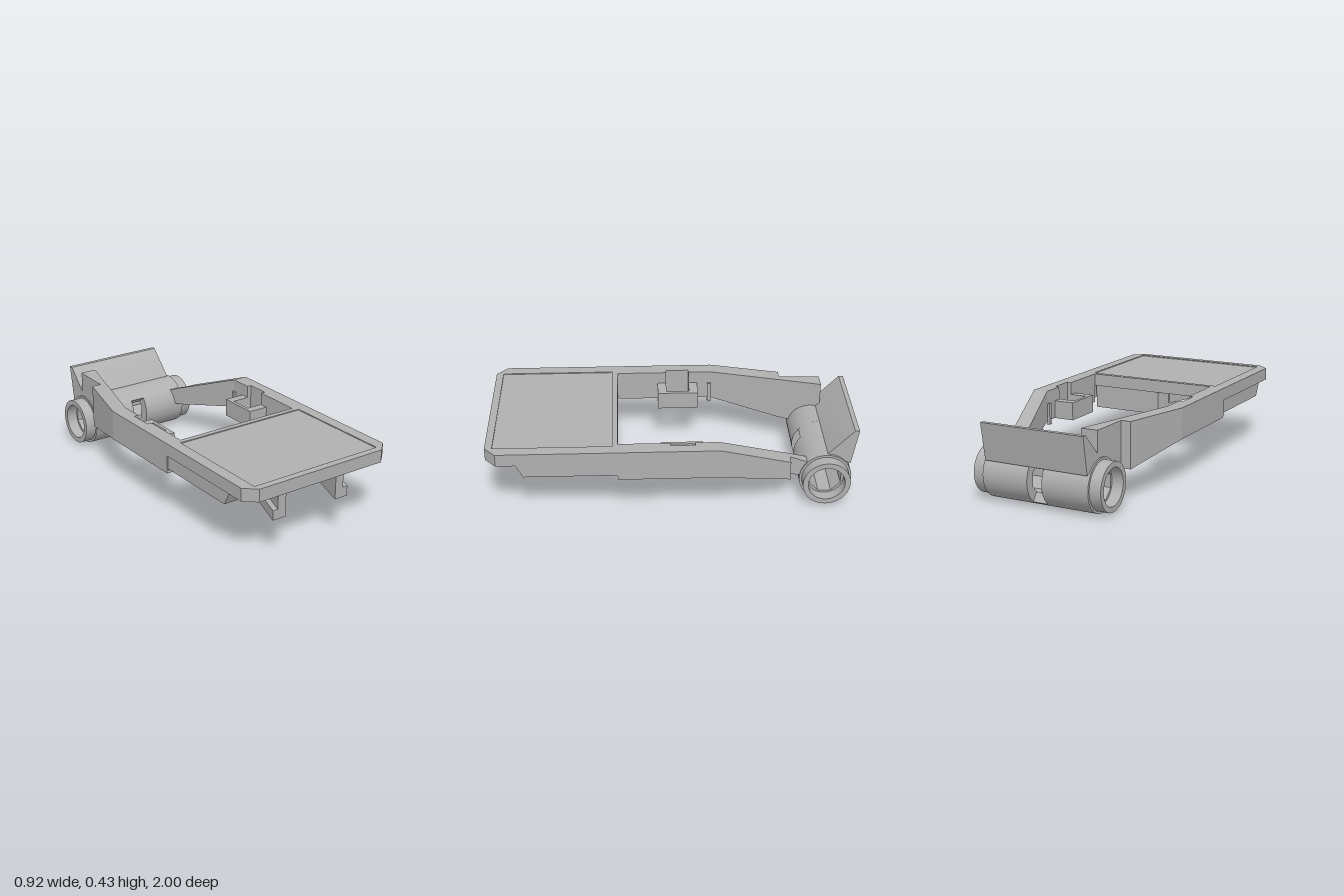
import * as THREE from 'three';
import { toCreasedNormals } from 'three/addons/utils/BufferGeometryUtils.js';

export function createModel() {
  const group = new THREE.Group();
  const grey = new THREE.MeshStandardMaterial({ color: 0xb0b0b0 });
  grey.name = 'plain grey';

  const add = (name, geo) => {
    const mesh = new THREE.Mesh(geo, grey);
    mesh.name = name;
    group.add(mesh);
    return mesh;
  };
  const points = (list) => list.map(([a, b]) => new THREE.Vector2(a, b));
  const rect = (x0, x1, z0, z1) => [[x0, z0], [x1, z0], [x1, z1], [x0, z1]];
  const circle = (x, y, r, n, turn = 0) => Array.from({ length: n }, (_, i) => {
    const a = (i / n) * Math.PI * 2 + turn;
    return [x + r * Math.cos(a), y + r * Math.sin(a)];
  });

  const makeShape = (outline, holes) => {
    const shape = new THREE.Shape(points(outline));
    for (const h of holes) shape.holes.push(new THREE.Path(points(h)));
    return shape;
  };
  // Plan outline (x, z) raised from y0 to y1
  const plan = (name, outline, y0, y1, holes = []) => {
    const geo = new THREE.ExtrudeGeometry(makeShape(outline, holes), { depth: y1 - y0, bevelEnabled: false });
    geo.rotateX(Math.PI / 2).translate(0, y1, 0);
    return add(name, toCreasedNormals(geo, 0.5));
  };
  // Side outline (-z, y) stretched from x0 to x1
  const side = (name, outline, x0, x1, holes = []) => {
    const geo = new THREE.ExtrudeGeometry(makeShape(outline, holes), { depth: x1 - x0, bevelEnabled: false });
    geo.rotateY(Math.PI / 2).translate(x0, 0, 0);
    return add(name, toCreasedNormals(geo, 0.5));
  };
  // Rectangular sections [z, x0, x1, y0, y1], ordered from front to back
  const loft = (name, sections) => {
    const rings = sections.map(([z, x0, x1, y0, y1]) =>
      [[x0, y0, z], [x1, y0, z], [x1, y1, z], [x0, y1, z]]);
    const pos = [];
    const quad = (a, b, c, d) => pos.push(...a, ...b, ...c, ...a, ...c, ...d);
    quad(...rings[0]);
    for (let i = 0; i < rings.length - 1; i++) {
      for (let k = 0; k < 4; k++) {
        const n = (k + 1) % 4;
        quad(rings[i][k], rings[i + 1][k], rings[i + 1][n], rings[i][n]);
      }
    }
    quad(...[...rings[rings.length - 1]].reverse());
    const geo = new THREE.BufferGeometry();
    geo.setAttribute('position', new THREE.Float32BufferAttribute(pos, 3));
    geo.computeVertexNormals();
    return add(name, geo);
  };

  // Platform with chamfered front corners, shallow top panel and round recess below
  const deck = [[-0.46, 0.3], [0.46, 0.3], [0.46, 0.94], [0.395, 1], [-0.395, 1], [-0.46, 0.94]];
  plan('platformUnderside', deck, 0.36, 0.395, [circle(0.02, 0.67, 0.11, 40)]);
  plan('platformTop', deck, 0.395, 0.425);
  plan('platformRim', deck, 0.425, 0.43, [rect(-0.395, 0.395, 0.33, 0.96)]);

  for (const s of [-1, 1]) {
    const mirror = (list) => list.map(([x, z]) => [s * x, z]);
    // Side rail with a notch for the socket
    plan('sideRail', mirror([[0.46, 0.3], [0.46, -0.24], [0.375, -0.24], [0.375, -0.11],
      [0.4, -0.11], [0.4, 0.02], [0.375, 0.02], [0.375, 0.3]]), 0.26, 0.43);
    side('lowerRail', [[-0.8, 0.285], [-0.31, 0.285], [-0.28, 0.26], [-0.28, 0.36], [-0.84, 0.36]],
      s > 0 ? 0.38 : -0.455, s > 0 ? 0.455 : -0.38);
    // Square socket on the inside of the rail
    plan('socket', mirror([[0.385, -0.16], [0.258, -0.16], [0.258, 0.07], [0.385, 0.07],
      [0.385, 0.02], [0.278, 0.02], [0.278, -0.11], [0.385, -0.11]]), 0.26, 0.36);
    plan('railPin', mirror(rect(0.36, 0.378, -0.24, -0.22)), 0.24, 0.36);
  }

  // Tall arm on the right, low sloping arm on the left
  loft('rightArm', [
    [-0.24, -0.46, -0.375, 0.26, 0.43], [-0.63, -0.36, -0.27, 0.18, 0.43],
    [-0.631, -0.305, -0.27, 0.18, 0.43], [-0.71, -0.305, -0.248, 0.17, 0.43],
    [-0.86, -0.3, -0.207, 0.26, 0.43]]);
  loft('leftArm', [
    [-0.24, 0.375, 0.46, 0.26, 0.43], [-0.63, 0.27, 0.36, 0.17, 0.28],
    [-0.631, 0.27, 0.305, 0.17, 0.28], [-0.73, 0.243, 0.3, 0.15, 0.24]]);

  // Hinge barrel with end collars and an open slot in the middle
  const hz = 0.83, hy = 0.143;
  const bore = circle(hz, hy, 0.092, 8, Math.PI / 8);
  for (const s of [-1, 1]) {
    const span = (a, b) => (s > 0 ? [a, b] : [-b, -a]);
    side('hingeBarrel', circle(hz, hy, 0.143, 64), ...span(0.043, 0.308), [bore]);
    side('hingeCollar', circle(hz, hy, 0.13, 64), ...span(0.308, 0.372), [circle(hz, hy, 0.1, 48)]);
  }
  const bridge = (name, from, to) => {
    const arc = (r, a, b) => Array.from({ length: 13 }, (_, i) => {
      const t = a + ((b - a) * i) / 12;
      return [hz + r * Math.cos(t), hy + r * Math.sin(t)];
    });
    side(name, [...arc(0.143, from, to), ...arc(0.09, to, from)], -0.044, 0.044);
  };
  bridge('slotBridgeTop', 0.7, Math.PI - 0.7);
  bridge('slotBridgeBottom', Math.PI + 0.93, Math.PI * 2 - 0.93);

  // Slanted plate behind the hinge
  side('backPlate', [[0.83, 0.272], [0.89, 0.255], [0.965, 0.225], [1, 0.43], [0.975, 0.43], [0.84, 0.29]],
    -0.3, 0.295);

  // Skewed latch bracket below the platform
  const slant = (z) => (0.99 - z) * 0.34;
  for (const [x, out] of [[-0.245, -1], [0.125, 1]]) {
    const at = (z, w0, w1, y0, y1) => [z, x + slant(z) + w0, x + slant(z) + w1, y0, y1];
    loft('latchLeg', [at(0.99, -0.025, 0.025, 0.28, 0.362), at(0.4, -0.025, 0.025, 0.28, 0.362)]);
    const w = out > 0 ? [-0.025, 0.055] : [-0.055, 0.025];
    loft('latchFoot', [at(0.99, ...w, 0.228, 0.282), at(0.8, ...w, 0.228, 0.282)]);
  }
  loft('latchCrossbar', [[0.46, -0.08, 0.34, 0.228, 0.362], [0.31, -0.04, 0.37, 0.228, 0.362]]);

  return group;
}
